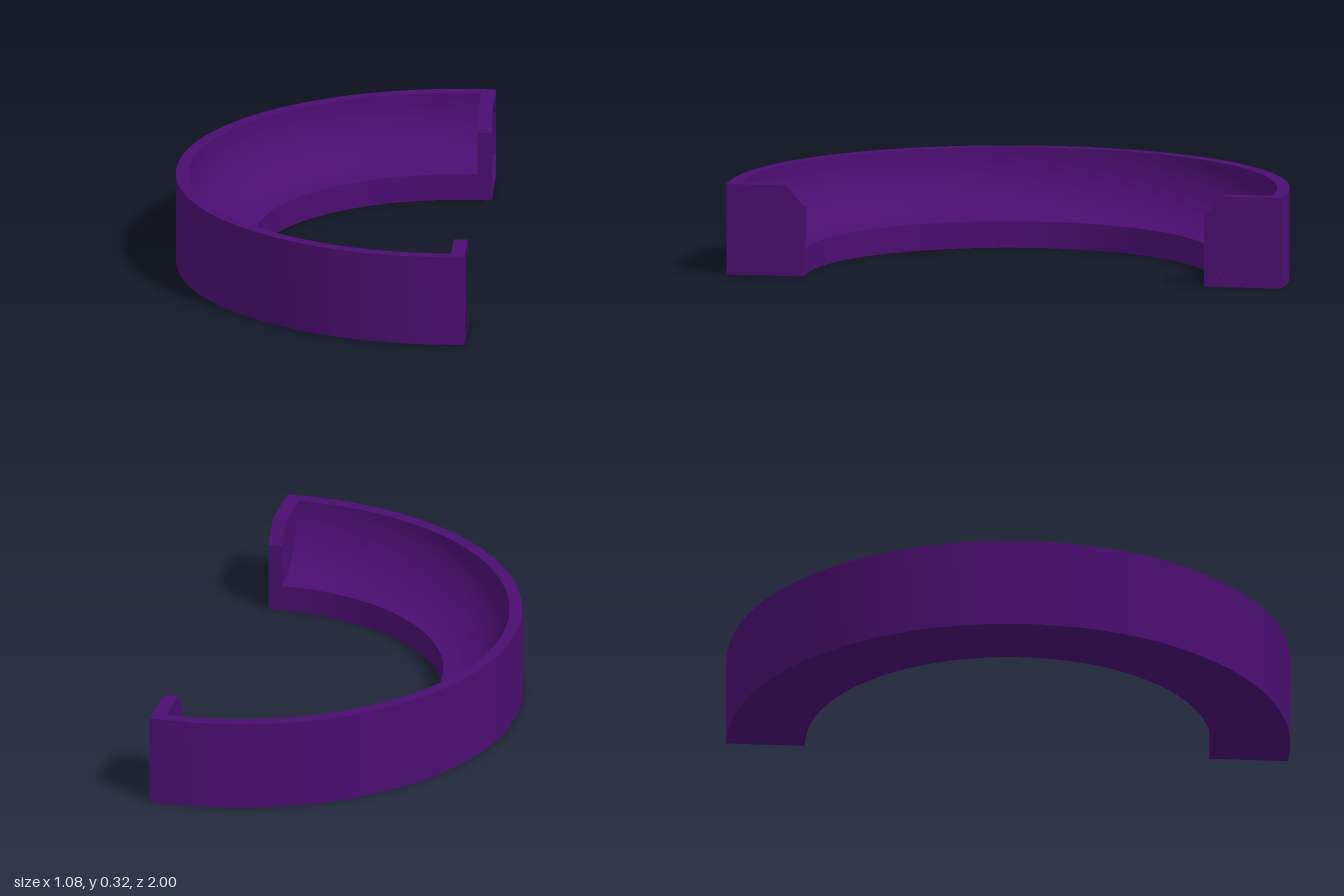
import * as THREE from 'three';
import { toCreasedNormals } from 'three/addons/utils/BufferGeometryUtils.js';

const OUTER = 1, INNER = 0.72, HEIGHT = 0.325, LIP = 0.095;
const CENTRE_X = 0.46, CAP_X = 0.49, RECESS_X = 0.53, END_X = 0.54;

// Channel cross-section as [radius, height], counter-clockwise
function channelProfile() {
  const points = [[INNER, 0], [OUTER, 0], [OUTER, HEIGHT]];
  const steps = 12;
  for (let i = 0; i <= steps; i++) {
    const a = (i / steps) * Math.PI / 2;
    points.push([INNER + 0.235 * Math.cos(a), HEIGHT - (HEIGHT - LIP) * Math.sin(a)]);
  }
  return points;
}

// End block outline with a chamfered upper inner corner
const capOutline = [[INNER, 0], [OUTER, 0], [OUTER, HEIGHT], [0.785, HEIGHT], [INNER, 0.25]];

// Octagonal recess outline
const octagon = [
  [0.80, 0.022], [0.93, 0.022], [0.985, 0.09], [0.985, 0.245],
  [0.93, 0.31], [0.80, 0.31], [0.74, 0.245], [0.74, 0.09],
];

const vectors = (points, side = 1) => points.map(([r, y]) => new THREE.Vector2(r * side, y));

// Extrude an outline along x; side +1 is the front end, -1 the back end
function extrudeAlongX(points, side, x0, x1, hole) {
  const shape = new THREE.Shape(vectors(points, -side));
  if (hole) shape.holes.push(new THREE.Path(vectors(hole, -side)));
  const geometry = new THREE.ExtrudeGeometry(shape, { depth: x1 - x0, bevelEnabled: false });
  geometry.rotateY(Math.PI / 2);
  geometry.translate(x0, 0, 0);
  return toCreasedNormals(geometry, 0.5);
}

export function createModel() {
  const model = new THREE.Group();
  model.name = 'halfRingChannel';
  const purple = new THREE.MeshStandardMaterial({ color: 0x4a0e70 });
  purple.name = 'deep purple';

  const add = (name, geometry) => {
    const mesh = new THREE.Mesh(geometry, purple);
    mesh.name = name;
    model.add(mesh);
  };

  // Curved half ring with a scooped channel
  const profile = channelProfile();
  const ring = new THREE.LatheGeometry(vectors([...profile, profile[0]]), 64, Math.PI, Math.PI);
  ring.translate(CENTRE_X, 0, 0);
  add('curvedChannel', toCreasedNormals(ring, 0.5));

  // Straight ends, end blocks and recessed end faces
  for (const side of [1, -1]) {
    const prefix = side > 0 ? 'front' : 'back';
    add(prefix + 'StraightChannel', extrudeAlongX(profile, side, CENTRE_X, CAP_X));
    add(prefix + 'EndBlock', extrudeAlongX(capOutline, side, CAP_X, RECESS_X));
    add(prefix + 'RecessFrame', extrudeAlongX(capOutline, side, RECESS_X, END_X, octagon));
  }
  return model;
}
